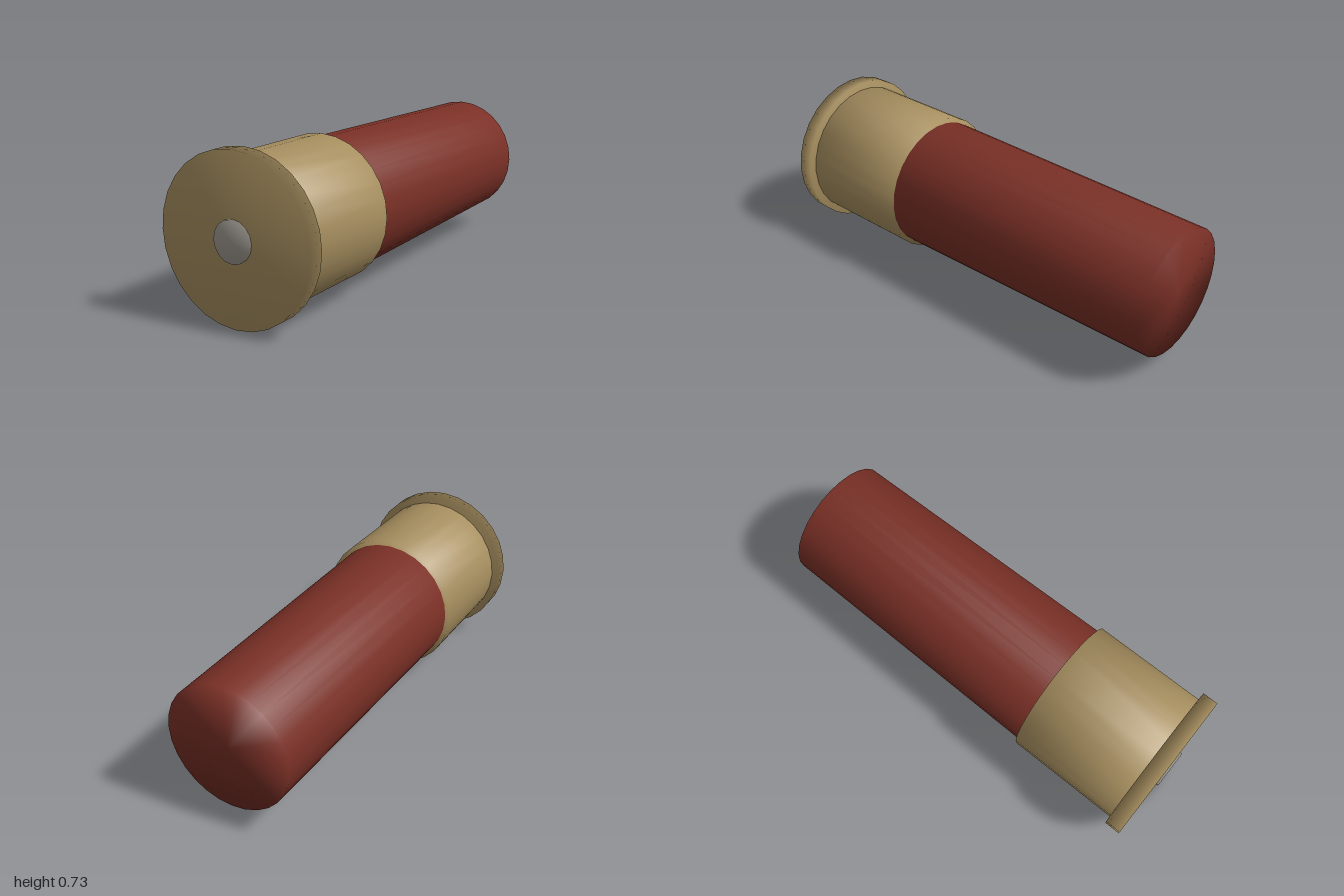
import * as THREE from 'three';
import { mergeVertices } from 'three/addons/utils/BufferGeometryUtils.js';

const AXIS_Y = 0.367;

function material(name, color) {
  const m = new THREE.MeshStandardMaterial({ color });
  m.name = name;
  return m;
}

// Capped tapered cylinder along z, with normals smoothed across its end edges
function barrel(name, mat, frontRadius, backRadius, frontZ, backZ, sides) {
  let geo = new THREE.CylinderGeometry(frontRadius, backRadius, frontZ - backZ, sides);
  geo.rotateX(Math.PI / 2);
  geo.deleteAttribute('normal');
  geo.deleteAttribute('uv');
  geo = mergeVertices(geo, 1e-4);
  geo.computeVertexNormals();
  const mesh = new THREE.Mesh(geo, mat);
  mesh.name = name;
  mesh.position.set(0, AXIS_Y, (frontZ + backZ) / 2);
  return mesh;
}

export function createModel() {
  const group = new THREE.Group();
  group.name = 'shotgunShell';

  const brass = material('brass', 0xa89060);
  const red = material('redHull', 0x7a3026);
  const steel = material('primerSteel', 0xa09a92);

  group.add(
    barrel('hull', red, 0.311, 0.293, 0.4, -1, 28),
    barrel('brassHead', brass, 0.332, 0.332, 0.93, 0.375, 28),
    barrel('rim', brass, 0.367, 0.367, 0.99, 0.915, 28),
    barrel('primer', steel, 0.091, 0.091, 1, 0.97, 16)
  );
  return group;
}
